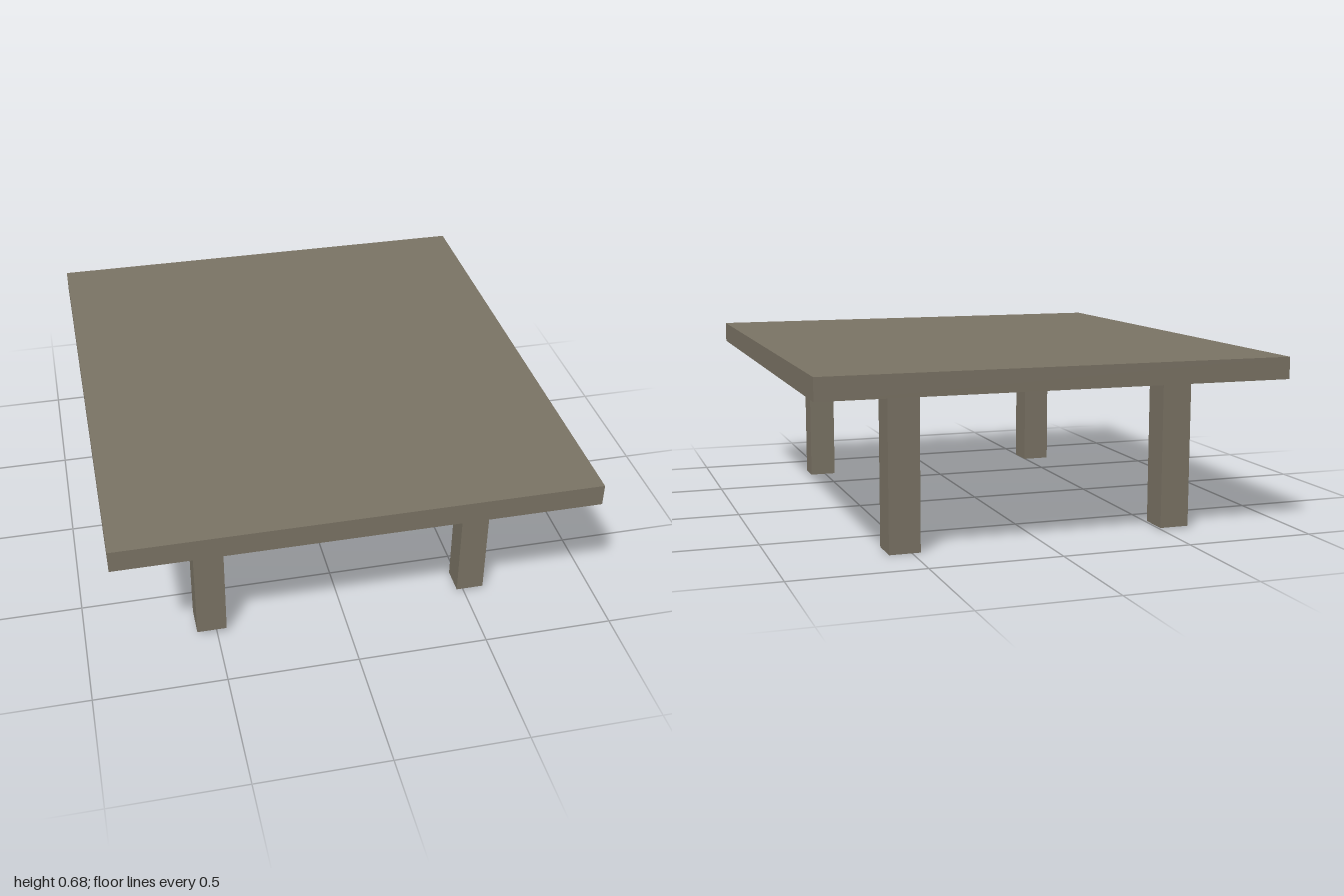
import * as THREE from 'three';

export function createModel() {
  const group = new THREE.Group();
  const wood = new THREE.MeshStandardMaterial({ color: 0x7b7465 });
  wood.name = 'greyBrownWood';

  // Box given by its extents along each axis
  const addBox = (name, [x0, x1], [y0, y1], [z0, z1]) => {
    const mesh = new THREE.Mesh(new THREE.BoxGeometry(x1 - x0, y1 - y0, z1 - z0), wood);
    mesh.position.set((x0 + x1) / 2, (y0 + y1) / 2, (z0 + z1) / 2);
    mesh.name = name;
    group.add(mesh);
  };

  const underside = 0.597;
  addBox('tableTop', [-0.89, 0.89], [underside, 0.68], [-1, 1]);

  // Rough-cut legs: each has its own position, thickness and length
  const legs = [
    ['frontLeftLeg', [0.47, 0.577], 0.014, [0.613, 0.717]],
    ['frontRightLeg', [-0.577, -0.463], 0.019, [0.63, 0.749]],
    ['backLeftLeg', [0.468, 0.586], 0, [-0.791, -0.667]],
    ['backRightLeg', [-0.61, -0.495], 0.008, [-0.766, -0.647]],
  ];
  for (const [name, x, foot, z] of legs) addBox(name, x, [foot, underside], z);

  return group;
}
